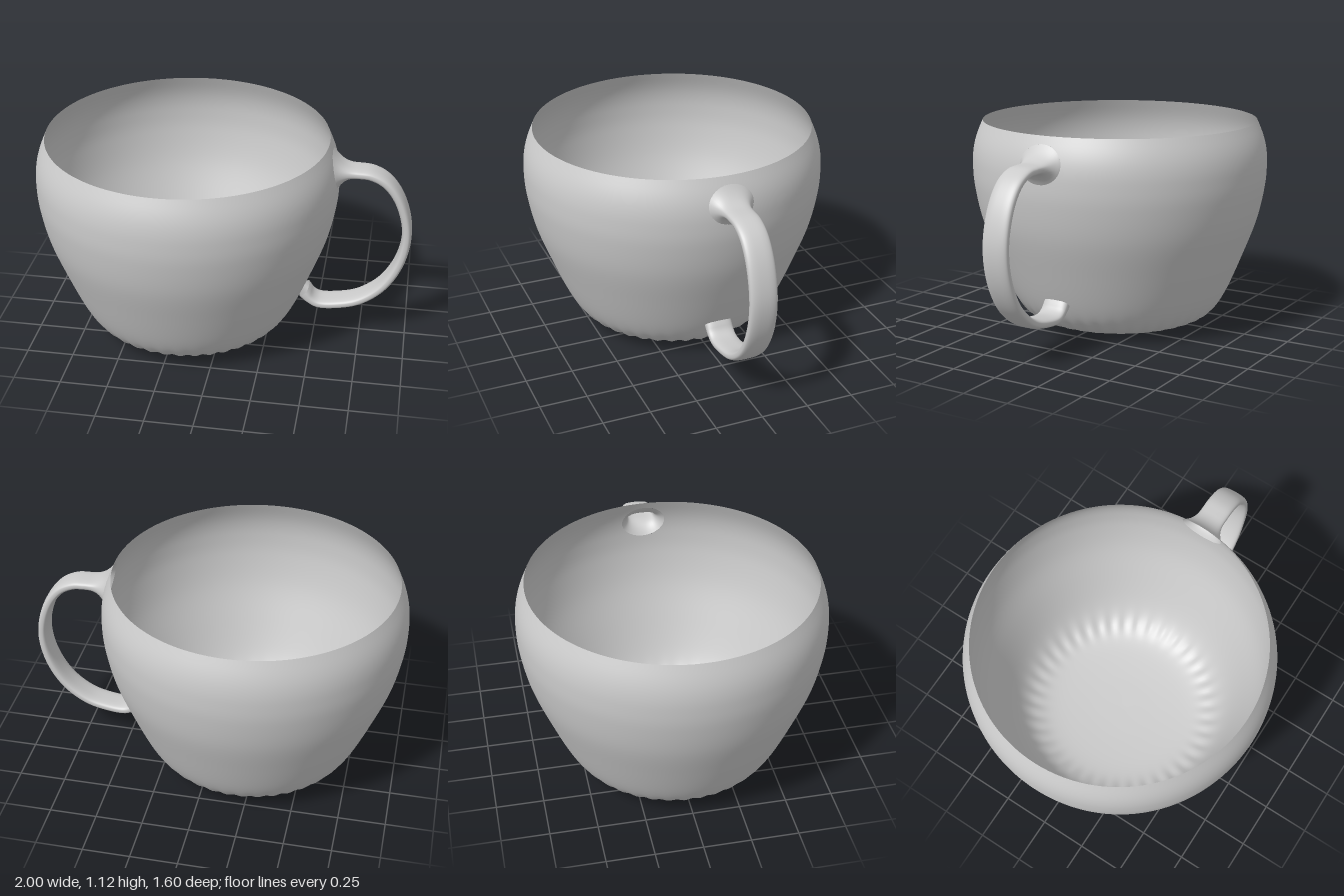
import * as THREE from 'three';
import { mergeVertices } from 'three/addons/utils/BufferGeometryUtils.js';

const CUP_X = -0.2; // cup axis; the handle reaches out to +x
const HOLE = { y: 0.99, ry: 0.1, rz: 0.12 }; // where the hollow handle opens into the cup

const v2 = (p) => new THREE.Vector2(p[0], p[1]);

// Wall profile (radius, height), a single thin shell from base centre to rim
const profile = new THREE.SplineCurve([
  [0, 0.005], [0.2, 0.01], [0.38, 0.025], [0.47, 0.05], [0.54, 0.1], [0.603, 0.2],
  [0.686, 0.4], [0.758, 0.6], [0.795, 0.78], [0.802, 0.9], [0.796, 0.98], [0.778, 1.05], [0.745, 1.13],
].map(v2)).getSpacedPoints(72);

function wallRadius(y) {
  let i = 1;
  while (i < profile.length - 1 && profile[i].y < y) i++;
  const a = profile[i - 1], b = profile[i];
  return a.x + (b.x - a.x) * (y - a.y) / (b.y - a.y);
}

// Point on the wall's +x side, relative to the cup axis
const onWall = (y, z) => new THREE.Vector3(Math.sqrt(wallRadius(y) ** 2 - z * z), y, z);

function cupGeometry() {
  let g = new THREE.LatheGeometry(profile, 240);
  g.deleteAttribute('uv');
  g.deleteAttribute('normal');
  g = mergeVertices(g, 1e-5);
  const pos = g.attributes.position;
  const inside = [];
  const p = new THREE.Vector3();
  for (let i = 0; i < pos.count; i++) {
    p.fromBufferAttribute(pos, i);
    // faint flutes around the base
    const r = Math.hypot(p.x, p.z);
    if (p.y < 0.25) {
      const fade = Math.exp(-(((r - 0.51) / 0.05) ** 2));
      p.y += 0.005 * fade * Math.cos(40 * Math.atan2(p.z, p.x));
    }
    // vertices inside the handle opening slide to its edge
    const dy = (p.y - HOLE.y) / HOLE.ry, dz = p.z / HOLE.rz;
    const d = Math.hypot(dy, dz) || 1e-6;
    inside[i] = p.x > 0 && d < 1;
    if (inside[i]) p.copy(onWall(HOLE.y + HOLE.ry * dy / d, HOLE.rz * dz / d));
    pos.setXYZ(i, p.x, p.y, p.z);
  }
  // drop the faces that covered the opening
  const kept = [], idx = g.index.array;
  for (let i = 0; i < idx.length; i += 3) {
    const f = [idx[i], idx[i + 1], idx[i + 2]];
    if (!f.every((k) => inside[k])) kept.push(...f);
  }
  g.setIndex(kept);
  g.computeVertexNormals();
  return g;
}

// Hollow strap: a trumpet flare off the wall, then a flat rounded section along a curve
function handleGeometry() {
  const SIDES = 36, FLARE = 14, STEPS = 90;
  const path = new THREE.CatmullRomCurve3([
    [0.7, 0.983], [0.77, 0.977], [0.85, 0.935], [0.925, 0.83], [0.971, 0.65], [0.945, 0.47],
    [0.86, 0.315], [0.74, 0.22], [0.62, 0.185], [0.52, 0.18], [0.475, 0.203], [0.44, 0.24],
  ].map(([x, y]) => new THREE.Vector3(x, y, 0)));
  const soft = (c) => Math.sign(c) * Math.abs(c) ** 0.7;

  const section = (u, a) => {
    const c = path.getPointAt(u);
    const t = u === 0 ? new THREE.Vector3(1, 0, 0) : path.getTangentAt(u);
    const lip = THREE.MathUtils.smoothstep(u, 0.95, 1);
    const h = (0.026 + 0.008 * lip) * soft(Math.cos(a));
    return new THREE.Vector3(c.x - t.y * h, c.y + t.x * h, 0.072 * soft(Math.sin(a)));
  };

  const verts = [], index = [];
  for (let i = 0; i <= FLARE + STEPS; i++) {
    for (let j = 0; j < SIDES; j++) {
      const a = (j / SIDES) * Math.PI * 2;
      let p;
      if (i < FLARE) {
        const t = i / FLARE;
        const root = onWall(HOLE.y + HOLE.ry * Math.cos(a), HOLE.rz * Math.sin(a));
        root.x += CUP_X;
        const end = section(0, a);
        const k = 1 - (1 - t) ** 2.6;
        p = root.clone().lerp(end, k);
        p.x = root.x + (end.x - root.x) * t;
      } else {
        p = section((i - FLARE) / STEPS, a);
      }
      verts.push(p.x, p.y, p.z);
      if (i < FLARE + STEPS) {
        const n = (j + 1) % SIDES, r0 = i * SIDES, r1 = r0 + SIDES;
        index.push(r0 + j, r0 + n, r1 + j, r0 + n, r1 + n, r1 + j);
      }
    }
  }
  const g = new THREE.BufferGeometry();
  g.setAttribute('position', new THREE.Float32BufferAttribute(verts, 3));
  g.setIndex(index);
  g.computeVertexNormals();
  return g;
}

export function createModel() {
  const material = new THREE.MeshStandardMaterial({ color: 0xcccccc, side: THREE.DoubleSide });
  const group = new THREE.Group();
  group.name = 'cup';

  const body = new THREE.Mesh(cupGeometry(), material);
  body.name = 'cupBody';
  body.position.x = CUP_X;

  const handle = new THREE.Mesh(handleGeometry(), material);
  handle.name = 'handle';

  group.add(body, handle);
  return group;
}
